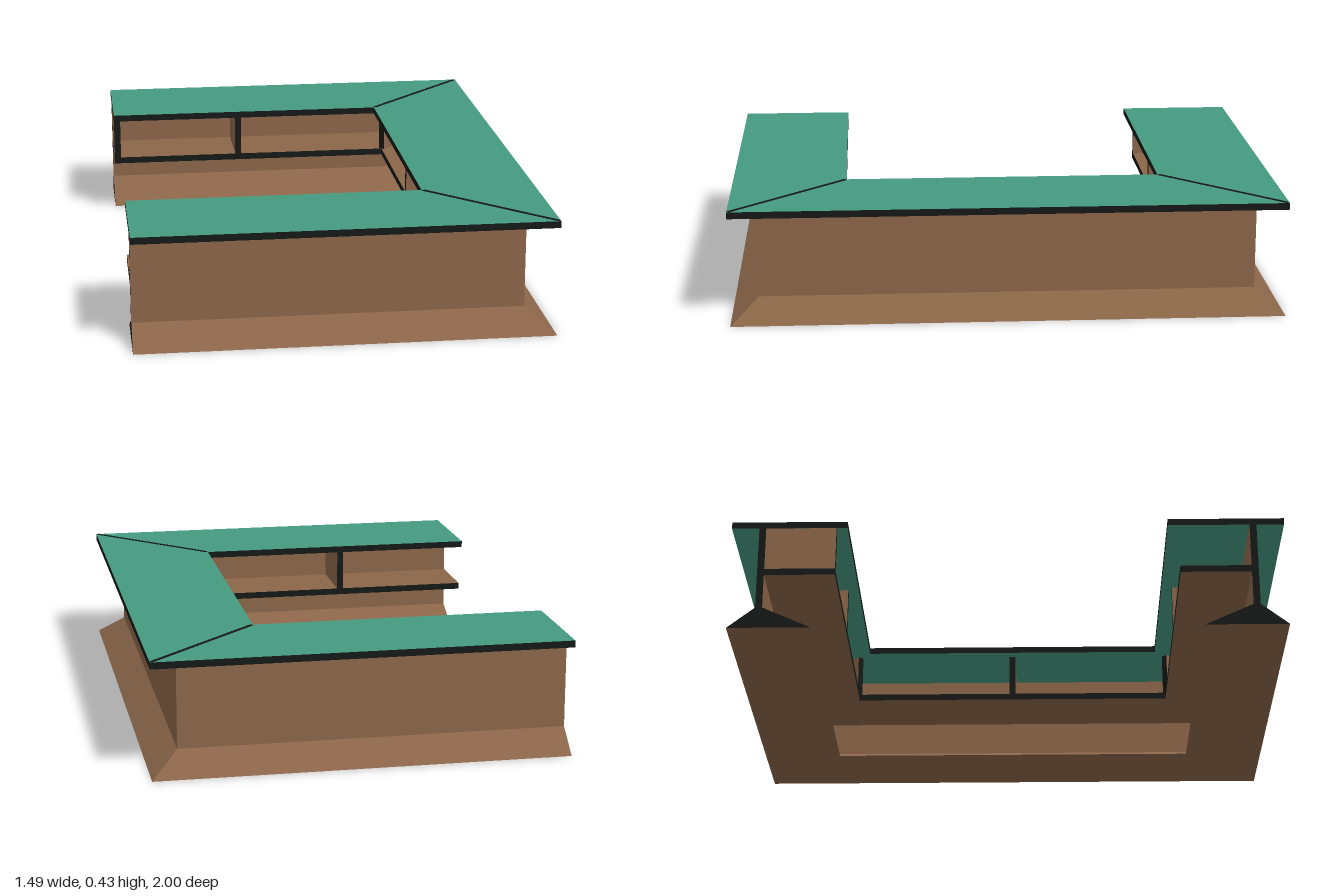
import * as THREE from 'three';

const X = 0.747, Z = 1;
const brown = new THREE.MeshStandardMaterial({ color: 0x8b6548 });
const green = new THREE.MeshStandardMaterial({ color: 0x459a80 });
const black = new THREE.MeshStandardMaterial({ color: 0x141816 });

// Point k of the U-shaped path, inset by d from the outer outline
function pathPoint(k, [d, y]) {
  return [k === 0 || k === 3 ? -X : X - d, y, k < 2 ? Z - d : d - Z];
}

// Sweep a convex profile of [inset, height] points round the U with mitred corners.
// mats[i] colours the face between points i and i + 1; the two ends are black.
function sweep(name, profile, mats) {
  const group = new THREE.Group();
  group.name = name;
  const buckets = new Map();
  const add = (mat, ...points) => {
    if (!buckets.has(mat)) buckets.set(mat, []);
    buckets.get(mat).push(...points.flat());
  };
  const n = profile.length;
  for (let i = 0; i < n; i++) {
    const p = profile[i], q = profile[(i + 1) % n];
    for (let k = 0; k < 3; k++) {
      const a = pathPoint(k, p), b = pathPoint(k, q);
      const c = pathPoint(k + 1, q), d = pathPoint(k + 1, p);
      add(mats[i], a, d, c, a, c, b);
    }
  }
  for (let i = 1; i < n - 1; i++) {
    const tri = [profile[0], profile[i], profile[i + 1]];
    add(black, ...tri.map(p => pathPoint(0, p)));
    add(black, ...tri.reverse().map(p => pathPoint(3, p)));
  }
  for (const [mat, pos] of buckets) {
    const geo = new THREE.BufferGeometry();
    geo.setAttribute('position', new THREE.Float32BufferAttribute(pos, 3));
    geo.computeVertexNormals();
    const mesh = new THREE.Mesh(geo, mat);
    mesh.name = name + (mat === black ? 'Trim' : 'Panel');
    group.add(mesh);
  }
  return group;
}

// Rectangular profile: outer bottom, outer top, inner top, inner bottom
const rect = (d0, d1, y0, y1) => [[d0, y0], [d0, y1], [d1, y1], [d1, y0]];

// Upright divider whose black front edge faces along the angle
function divider(x, z, angle, length) {
  const mesh = new THREE.Mesh(
    new THREE.BoxGeometry(0.025, 0.167, length),
    [brown, brown, brown, brown, black, brown]
  );
  mesh.name = 'divider';
  mesh.position.set(x, 0.3175, z);
  mesh.rotation.y = angle;
  return mesh;
}

export function createModel() {
  const model = new THREE.Group();
  model.name = 'counter';

  model.add(
    sweep('countertop', rect(0, 0.42, 0.4, 0.425), [black, green, black, green]),
    sweep('wall', rect(0.1, 0.125, 0.08, 0.4), [brown, brown, brown, brown]),
    sweep('shelf', rect(0.125, 0.38, 0.21, 0.235), [brown, brown, black, brown]),
    sweep('flaredBase', [[0, 0], [0.1, 0.08], [0.125, 0.08], [0.3, 0]], [brown, brown, brown, brown])
  );

  // Dividers between shelf and top
  const mid = 0.2525, depth = 0.255;
  model.add(divider(X - mid, 0, -Math.PI / 2, depth));
  model.add(divider(-X + 0.0135, mid - Z, 0, depth));
  for (const s of [1, -1]) {
    model.add(divider(-0.235, s * (Z - mid), s > 0 ? Math.PI : 0, depth));
    const angle = s > 0 ? -Math.PI * 0.75 : -Math.PI * 0.25;
    model.add(divider(X - mid, s * (Z - mid), angle, depth * Math.SQRT2));

    // Dark mitre seam across the top
    const seam = new THREE.Mesh(new THREE.BoxGeometry(0.014, 0.003, 0.41 * Math.SQRT2), black);
    seam.name = 'mitreSeam';
    seam.position.set(X - 0.21, 0.425, s * (Z - 0.21));
    seam.rotation.y = angle;
    model.add(seam);
  }
  return model;
}
